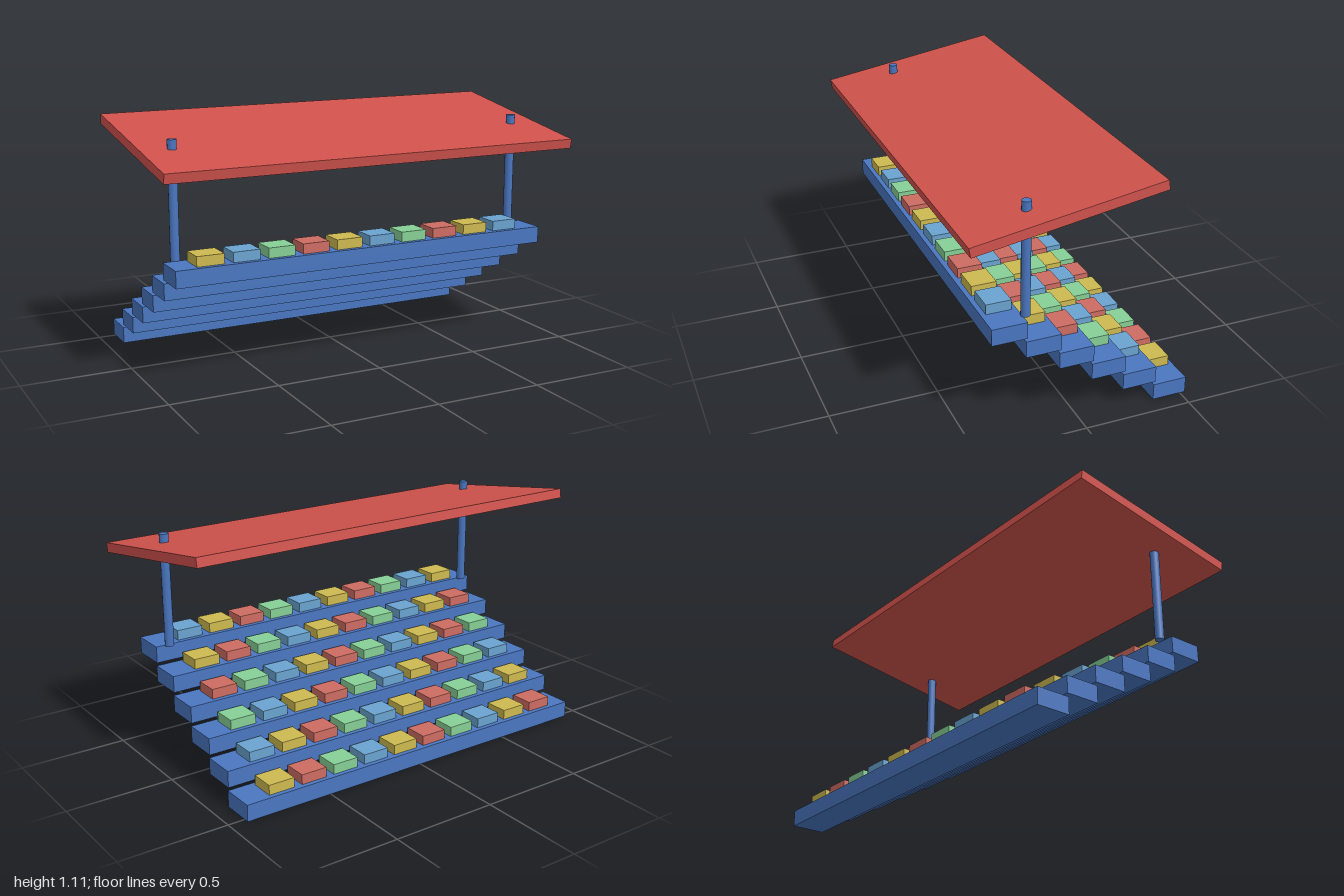
import * as THREE from 'three';

function material(name, color) {
  const m = new THREE.MeshStandardMaterial({ color });
  m.name = name;
  return m;
}

export function createModel() {
  const group = new THREE.Group();
  group.name = 'grandstand';

  const frameBlue = material('frame blue', 0x4a76c0);
  const roofRed = material('roof red', 0xd0524c);
  const seatColours = [
    material('seat red', 0xcd6c62),
    material('seat yellow', 0xcdb950),
    material('seat light blue', 0x6aa3cf),
    material('seat green', 0x86cf96),
  ];

  const add = (name, geometry, mat, x, y, z, parent = group) => {
    const mesh = new THREE.Mesh(geometry, mat);
    mesh.name = name;
    mesh.position.set(x, y, z);
    parent.add(mesh);
    return mesh;
  };

  // Stepped tiers rising towards the front, each with a row of seats
  const tierHeight = 0.077, seatHeight = 0.046;
  const tierGeometry = new THREE.BoxGeometry(1.84, tierHeight, 0.16);
  const seatGeometry = new THREE.BoxGeometry(0.126, seatHeight, 0.115);
  for (let row = 0; row < 6; row++) {
    const tier = new THREE.Group();
    tier.name = `tier${row + 1}`;
    tier.position.set(0, row * 0.0924, -0.445 + row * 0.154);
    group.add(tier);
    add('step', tierGeometry, frameBlue, 0, tierHeight / 2, 0, tier);
    for (let i = 0; i < 10; i++) {
      add('seat', seatGeometry, seatColours[(row + i) % 4],
        -0.755 + i * 0.1656, tierHeight + seatHeight / 2, 0, tier);
    }
  }

  // Roof posts, poking through the roof
  const postGeometry = new THREE.CylinderGeometry(0.021, 0.021, 0.525, 12);
  for (const side of [-1, 1]) {
    add(side > 0 ? 'leftPost' : 'rightPost', postGeometry, frameBlue, side * 0.86, 0.8015, 0.232);
  }

  // Roof slab sloping down to the front
  const roof = add('roof', new THREE.BoxGeometry(2, 0.0445, 0.864), roofRed, 0, 1.022, 0.099);
  roof.rotation.x = 0.16;

  return group;
}
